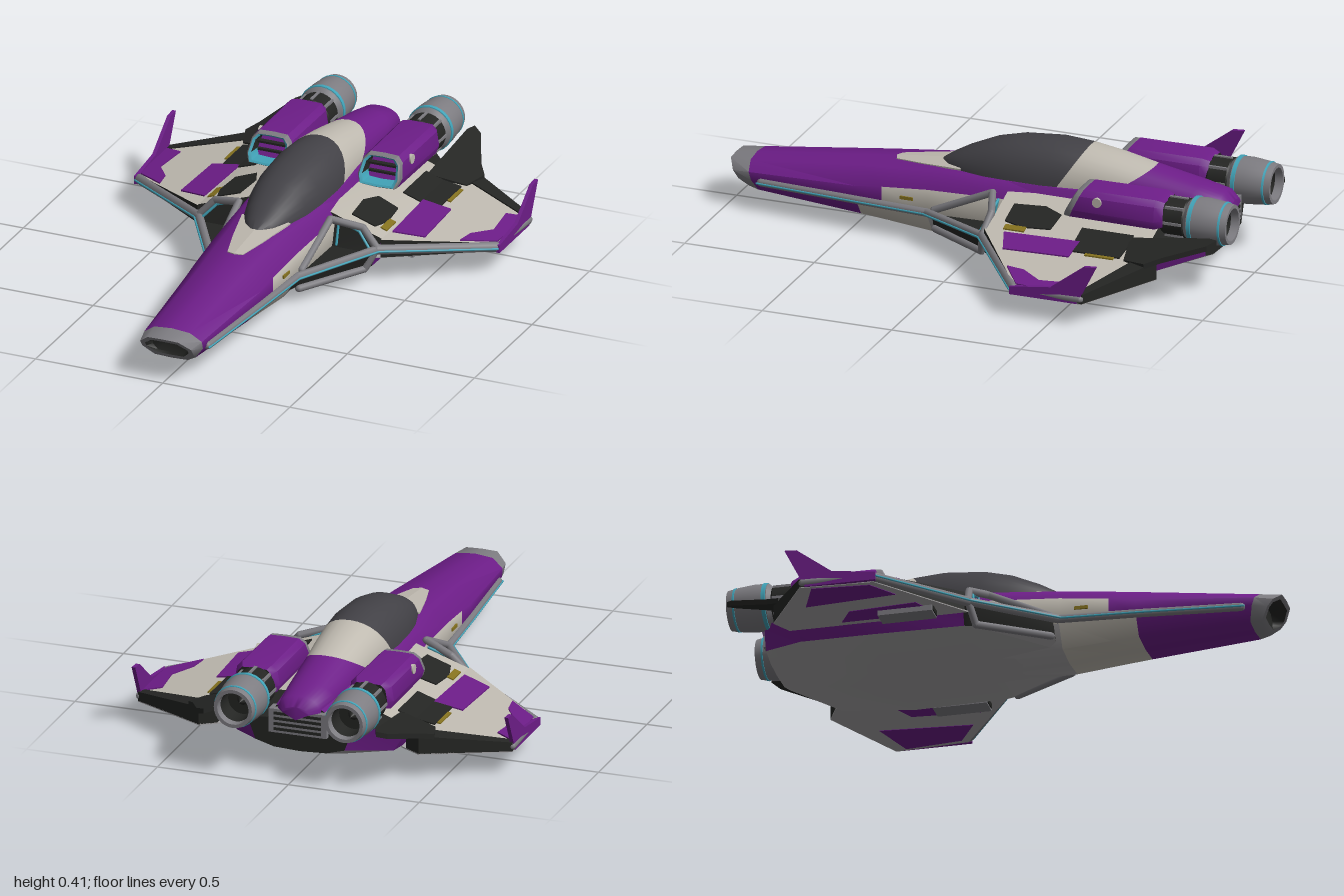
import * as THREE from 'three';
import { toCreasedNormals } from 'three/addons/utils/BufferGeometryUtils.js';

const mat = (name, color) => Object.assign(new THREE.MeshStandardMaterial({ color }), { name });
const purple = mat('purple paint', 0x6d1d88), cream = mat('cream paint', 0xbfbab0), grey = mat('grey metal', 0x7d7c81);
const black = mat('black panel', 0x242523), glass = mat('dark canopy', 0x424146), belly = mat('belly grey', 0xa6a4a6);
const cyan = mat('cyan trim', 0x41a3b8), gold = mat('gold marking', 0x85721f);

// Closed loft of mirrored half profiles (top centre to bottom centre), front to back.
// paint(i, j) gives the colour of band j in segment i; i = -1 and 'back' are the end caps.
function loft(name, sections, paint, crease = 0.6) {
  const rings = sections.map(half => [...half, ...half.slice(1, -1).reverse().map(([x, y, z]) => [-x, y, z])]);
  const bands = sections[0].length - 1, n = rings[0].length, faces = new Map();
  const add = (m, ...pts) => faces.set(m, [...(faces.get(m) || []), ...pts.flat()]);
  for (let i = 0; i < rings.length - 1; i++) for (let j = 0; j < n; j++) {
    const k = (j + 1) % n, m = paint(i, j < bands ? j : n - 1 - j);
    const [a, b, c, d] = [rings[i][j], rings[i][k], rings[i + 1][k], rings[i + 1][j]];
    add(m, a, b, c, a, c, d);
  }
  const front = rings[0], back = rings[rings.length - 1];
  for (let j = 1; j < n - 1; j++) {
    add(paint(-1, 0), front[0], front[j + 1], front[j]);
    add(paint('back', 0), back[0], back[j], back[j + 1]);
  }
  const geo = new THREE.BufferGeometry(), pos = [], mats = [];
  for (const [m, p] of faces) {
    geo.addGroup(pos.length / 3, p.length / 3, mats.length);
    for (const v of p) pos.push(v);
    mats.push(m);
  }
  geo.setAttribute('position', new THREE.Float32BufferAttribute(pos, 3));
  const mesh = new THREE.Mesh(toCreasedNormals(geo, crease), mats);
  mesh.name = name;
  return mesh;
}

// Plate with an [x, z] outline, mirrored by s, filled between two height rules.
function slab(name, m, s, outline, bottom, top) {
  const shape = new THREE.Shape(outline.map(([x, z]) => new THREE.Vector2(s * x, -z)));
  const geo = new THREE.ExtrudeGeometry(shape, { depth: 1, bevelEnabled: false }).rotateX(-Math.PI / 2);
  const p = geo.attributes.position;
  for (let i = 0; i < p.count; i++) {
    const x = Math.abs(p.getX(i)), z = p.getZ(i);
    p.setY(i, p.getY(i) > 0.5 ? top(x, z) : bottom(x, z));
  }
  geo.computeVertexNormals();
  const mesh = new THREE.Mesh(geo, m);
  mesh.name = name;
  return mesh;
}

// Chain of round bars through points mirrored by s.
function bars(name, m, s, r, pts) {
  const group = new THREE.Group();
  group.name = name;
  const v = pts.map(([x, y, z]) => new THREE.Vector3(s * x, y, z));
  for (let i = 0; i < v.length - 1; i++) {
    const d = v[i + 1].clone().sub(v[i]);
    const bar = new THREE.Mesh(new THREE.CapsuleGeometry(r, d.length(), 3, 8), m);
    bar.position.copy(v[i]).addScaledVector(d, 0.5);
    bar.quaternion.setFromUnitVectors(new THREE.Vector3(0, 1, 0), d.normalize());
    group.add(bar);
  }
  return group;
}

function box(name, m, w, h, d, x, y, z) {
  const mesh = new THREE.Mesh(new THREE.BoxGeometry(w, h, d), m);
  mesh.position.set(x, y, z);
  mesh.name = name;
  return mesh;
}

function turned(name, m, x, y, profile) {
  const geo = new THREE.LatheGeometry(profile.map(([r, l]) => new THREE.Vector2(r, l)), 28).rotateX(-Math.PI / 2);
  const mesh = new THREE.Mesh(toCreasedNormals(geo, 0.6), m);
  mesh.position.set(x, y, 0);
  mesh.name = name;
  return mesh;
}

const deck = x => x < 0.36 ? 0.245 - 0.341 * (x - 0.14) : 0.17 - 0.155 * (x - 0.36);
const under = x => 0.1 - 0.04 * (x - 0.36);
const rect = (x0, x1, z0, z1) => [[x0, z0], [x1, z0], [x1, z1], [x0, z1]];

export function createModel() {
  const g = new THREE.Group();
  g.name = 'starfighter';

  // Fuselage: z, top, top width, top edge, side width, shoulder, chine, low width, low, bottom, rake
  const body = [
    [0.93, 0.15, 0.045, 0.15, 0.07, 0.13, 0.115, 0.05, 0.095, 0.095, 0],
    [0.99, 0.158, 0.05, 0.157, 0.083, 0.132, 0.115, 0.055, 0.088, 0.086, 0.75],
    [1.0, 0.172, 0.06, 0.17, 0.1, 0.138, 0.11, 0.065, 0.072, 0.068, 0.75],
    [0.92, 0.183, 0.07, 0.176, 0.113, 0.145, 0.115, 0.078, 0.068, 0.062, 0.3],
    [0.48, 0.236, 0.086, 0.227, 0.148, 0.168, 0.113, 0.1, 0.045, 0.037, 0],
    [0.38, 0.247, 0.092, 0.237, 0.153, 0.182, 0.109, 0.103, 0.037, 0.029, 0],
    [0.2, 0.265, 0.1, 0.255, 0.162, 0.2, 0.1, 0.11, 0.022, 0.012, 0],
    [-0.1, 0.285, 0.135, 0.268, 0.178, 0.215, 0.09, 0.1, 0.012, 0.006, 0],
    [-0.4, 0.3, 0.135, 0.272, 0.165, 0.2, 0.1, 0.1, 0.03, 0.02, 0],
    [-0.88, 0.28, 0.09, 0.25, 0.13, 0.19, 0.14, 0.1, 0.1, 0.1, 0],
  ].map(([z, t, tw, te, sw, sh, ch, lw, lo, b, rake]) =>
    [[0, t], [tw, te], [sw, sh], [sw, ch], [lw, lo], [0, b]].map(([x, y]) => [x, y, z - rake * (t - y)]));
  g.add(loft('fuselage', body, (i, j) => {
    if (i === -1 || i === 0 || i === 'back') return black;
    if (i < 3) return grey;
    if (i === 4 || i === 5) return j > 2 || (i === 5 && j === 2) ? cream : purple;
    if (i === 6 && j === 2) return cream;
    return i > 5 && j > 2 ? belly : purple;
  }, 0.9));

  // Wide hull: z, inner height, edge width and height, chine width and height, keel width and height, bottom
  const hull = [
    [0.18, 0.11, 0.165, 0.11, 0.15, 0.06, 0.1, 0.028, 0.018],
    [-0.08, 0.12, 0.34, 0.12, 0.31, 0.055, 0.08, 0.006, 0.002],
    [-0.11, 0.245, 0.36, 0.17, 0.32, 0.055, 0.08, 0.006, 0.002],
    [-0.45, 0.245, 0.36, 0.17, 0.33, 0.055, 0.1, 0.004, 0],
    [-0.72, 0.245, 0.36, 0.17, 0.3, 0.07, 0.1, 0.03, 0.028],
    [-0.88, 0.2, 0.2, 0.19, 0.17, 0.11, 0.1, 0.09, 0.085],
  ].map(([z, iy, w, ey, cw, cy, lw, ly, b]) =>
    [[0, iy], [0.14, iy], [w, ey], [cw, cy], [lw, ly], [0, b]].map(([x, y]) => [x, y, z]));
  g.add(loft('hull', hull, (i, j) => {
    if (j > 2) return belly;
    if (i < 2 || i === 'back' || (i === 4 && j < 2)) return black;
    return j === 2 ? purple : cream;
  }, 0.4));

  // Canopy and spine: z, half width, top, forward sweep of the sides
  const arch = [[0.2, 0.025, 0.268], [0.16, 0.06, 0.295], [0.1, 0.09, 0.328], [0, 0.118, 0.372], [-0.1, 0.132, 0.397],
    [-0.25, 0.136, 0.41, 0.03], [-0.37, 0.132, 0.402, 0.1], [-0.5, 0.125, 0.382, 0.15],
    [-0.62, 0.115, 0.357, 0.18], [-0.8, 0.095, 0.322, 0.05], [-0.89, 0.08, 0.3], [-0.925, 0.05, 0.27]]
    .map(([z, w, top, sweep = 0]) => {
      const curve = Array.from({ length: 9 }, (_, k) => {
        const a = k / 8 * Math.PI / 2;
        return [w * Math.sin(a) ** 0.9, 0.245 + (top - 0.245) * Math.max(0, Math.cos(a)) ** 0.9, z + sweep * (k / 8) ** 2];
      });
      return [...curve, [0, 0.22, z]];
    });
  g.add(loft('canopyAndSpine', arch, i => i < 6 ? glass : i < 8 ? cream : purple, 0.9));

  // Rear exhaust grille
  g.add(box('exhaustBlock', grey, 0.22, 0.09, 0.05, 0, 0.2, -0.88));
  for (let k = 0; k < 4; k++) g.add(box('exhaustSlot', black, 0.18, 0.01, 0.006, 0, 0.17 + k * 0.02, -0.906));

  for (const s of [1, -1]) {
    const onDeck = (name, m, pts) => g.add(slab(name, m, s, pts, x => deck(x) - 0.002, x => deck(x) + 0.005));
    const onBelly = (name, m, pts) => g.add(slab(name, m, s, pts, x => under(x) - 0.005, x => under(x) + 0.002));

    // Wing and its painted panels
    const plan = [[0.34, -0.09], [0.7, -0.35], [0.715, -0.62], [0.42, -0.79], [0.34, -0.75]];
    g.add(slab('wing', [cream, black], s, [[0.36, -0.1], ...plan.slice(1, 4), [0.36, -0.76]], under, deck));
    g.add(slab('wingUnderside', belly, s, plan, x => under(x) - 0.003, x => under(x) + 0.002));
    onDeck('wingTipPaint', purple, [[0.59, -0.28], [0.7, -0.36], [0.715, -0.6], [0.64, -0.57], [0.655, -0.43], [0.6, -0.35]]);
    onDeck('wingRootPaint', purple, [[0.37, -0.18], [0.48, -0.22], [0.47, -0.47], [0.36, -0.47]]);
    onDeck('wingPanel', black, rect(0.36, 0.43, -0.47, -0.65));
    onDeck('hullPanel', black, rect(0.29, 0.36, -0.45, -0.65));
    onDeck('deckPatch', black, [[0.22, -0.16], [0.31, -0.16], [0.33, -0.23], [0.32, -0.34], [0.24, -0.35], [0.21, -0.28]]);
    onDeck('deckMarking', gold, rect(0.328, 0.352, -0.17, -0.25));
    onDeck('wingMarking', gold, rect(0.432, 0.445, -0.52, -0.63));
    onDeck('trailingEdge', black, [[0.42, -0.71], [0.7, -0.595], [0.715, -0.62], [0.42, -0.79]]);
    onBelly('undersidePaint', purple, [[0.37, -0.2], [0.48, -0.25], [0.46, -0.5], [0.37, -0.55]]);
    onBelly('undersideTipPaint', purple, [[0.57, -0.3], [0.68, -0.37], [0.7, -0.58], [0.54, -0.64]]);

    // Cream tongue ahead of the canopy and a side marking
    const crown = (x, z) => 0.269 - 0.1 * x - 0.105 * (z - 0.2);
    g.add(slab('noseFlash', cream, s, [[0, 0.38], [0.03, 0.37], [0.06, 0.26], [0.095, 0.1], [0, 0.1]],
      (x, z) => crown(x, z) - 0.006, crown));
    g.add(box('sideMarking', gold, 0.008, 0.012, 0.05, s * 0.159, 0.155, 0.28));

    // Leading edge, intake frames and cyan trim
    const edge = [[0.113, 0.113, 0.86], [0.147, 0.115, 0.48], [0.168, 0.115, 0.2], [0.35, 0.135, -0.09], [0.7, 0.103, -0.35]];
    g.add(bars('noseRail', grey, s, 0.016, edge.slice(0, 4)));
    g.add(bars('wingLeadingEdge', grey, s, 0.019, edge.slice(3)));
    g.add(bars('wingTipEdge', grey, s, 0.014, [[0.7, 0.103, -0.35], [0.712, 0.103, -0.61]]));
    g.add(bars('leadingTrim', cyan, s, 0.004, edge.map(([x, y, z]) => [x + 0.013, y - 0.002, z + 0.013])));
    g.add(bars('intakeFrame', grey, s, 0.014,
      [[0.17, 0.13, 0.17], [0.18, 0.235, -0.06], [0.29, 0.205, -0.1], [0.35, 0.14, -0.09], [0.31, 0.06, -0.07], [0.16, 0.055, 0.17]]));
    g.add(bars('intakeTrim', cyan, s, 0.005,
      [[0.2, 0.135, -0.068], [0.2, 0.22, -0.09], [0.28, 0.193, -0.09], [0.33, 0.14, -0.07]]));

    // Tail fin rising behind the wing
    const rise = (x, z) => 0.188 + (-0.66 - z) * 0.17 - (x - 0.33) * 0.25;
    g.add(slab('tailFin', black, s,
      [[0.3, -0.64], [0.44, -0.67], [0.47, -0.76], [0.435, -0.81], [0.365, -0.96], [0.33, -0.985], [0.315, -0.95]],
      (x, z) => rise(x, z) - 0.02, rise));

    // Swept winglet
    const side = new THREE.Shape([[-0.34, 0.085], [-0.6, 0.085], [-0.675, 0.235], [-0.63, 0.232], [-0.5, 0.135], [-0.34, 0.115]]
      .map(p => new THREE.Vector2(...p)));
    const winglet = new THREE.Mesh(
      new THREE.ExtrudeGeometry(side, { depth: 0.014, bevelEnabled: false }).rotateY(-Math.PI / 2), purple);
    winglet.position.x = s * 0.712 + 0.007;
    winglet.name = 'winglet';
    g.add(winglet);

    // Pod under the wing
    g.add(box('underwingPod', grey, 0.075, 0.03, 0.2, s * 0.405, 0.088, -0.3));
    g.add(box('podOpening', black, 0.055, 0.018, 0.006, s * 0.405, 0.087, -0.199));

    // Engine nacelle
    const ring = (z, k, rake = 0) => [[0, 0.34], [0.055, 0.338], [0.075, 0.318], [0.084, 0.265], [0.072, 0.235], [0, 0.232]]
      .map(([x, y]) => [x * k, 0.285 + (y - 0.285) * k, z + rake * (0.285 - y)]);
    const skin = [purple, black, cyan, grey, grey, purple, purple];
    const nacelle = loft('nacelle',
      [ring(-0.45, 0.7, 0.47), ring(-0.405, 0.78, 0.47), ring(-0.4, 0.9, 0.47), ring(-0.405, 0.97, 0.47),
        ring(-0.425, 1, 0.47), ring(-0.73, 1.03), ring(-0.76, 0.85)],
      (i, j) => i === 0 && j > 2 ? cyan : skin[i + 1] || black);
    nacelle.position.x = s * 0.218;
    g.add(nacelle);
    for (const y of [0.27, 0.3]) g.add(box('inletVane', black, 0.11, 0.008, 0.02, s * 0.218, y, -0.44));
    const badge = new THREE.Mesh(new THREE.CylinderGeometry(0.018, 0.018, 0.02, 16).rotateZ(Math.PI / 2), cream);
    badge.position.set(s * 0.291, 0.305, -0.51);
    badge.name = 'nacelleDisc';
    g.add(badge);

    // Thruster
    const x = s * 0.212, y = 0.262;
    g.add(turned('thrusterNeck', black, x, y, [[0.06, 0.74], [0.074, 0.76], [0.074, 0.83], [0.06, 0.85]]));
    g.add(turned('nozzle', grey, x, y,
      [[0.066, 0.83], [0.084, 0.85], [0.086, 0.9], [0.08, 0.96], [0.073, 1], [0.06, 1], [0.058, 0.97]]));
    g.add(turned('nozzleCore', black, x, y, [[0.058, 0.97], [0.055, 0.9], [0.02, 0.9], [0.001, 0.93]]));
    g.add(turned('nozzleTrim', cyan, x, y, [[0.08, 0.852], [0.0875, 0.854], [0.0875, 0.868], [0.08, 0.87]]));
    g.add(turned('rimTrim', cyan, x, y, [[0.075, 0.968], [0.0805, 0.97], [0.0795, 0.977], [0.072, 0.979]]));
    for (let k = 0; k < 8; k++) {
      const a = k / 8 * Math.PI * 2;
      g.add(box('neckRib', grey, 0.01, 0.01, 0.07, x + 0.073 * Math.cos(a), y + 0.073 * Math.sin(a), -0.795));
    }
  }
  return g;
}
